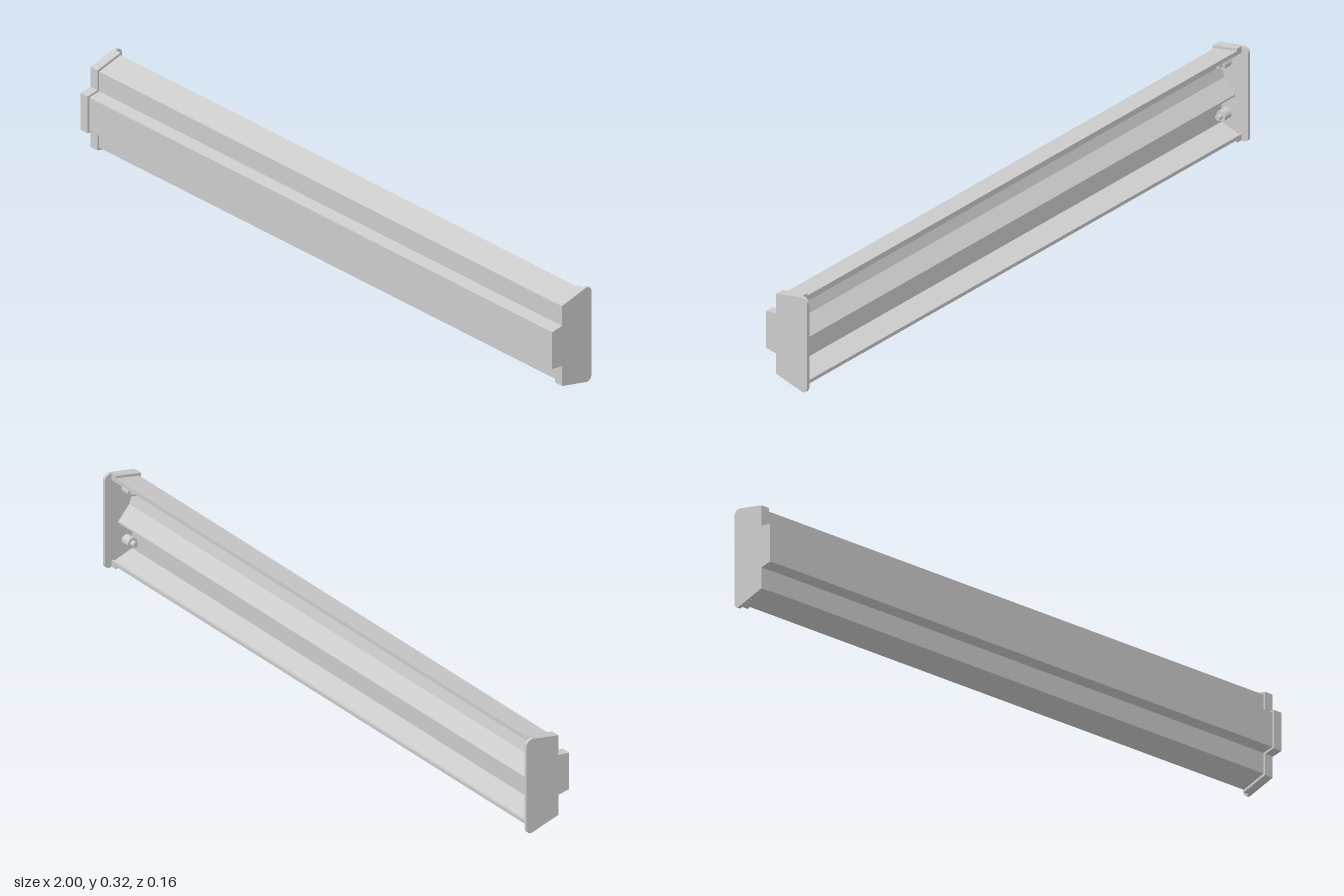
import * as THREE from 'three';

const grey = new THREE.MeshStandardMaterial({ color: 0xcccccc });

// Extrude a [z, y] outline along x from x0 to x1.
function extrudeX(name, points, x0, x1) {
  const shape = new THREE.Shape(points.map(([z, y]) => new THREE.Vector2(-z, y)));
  const geo = new THREE.ExtrudeGeometry(shape, { depth: x1 - x0, bevelEnabled: false });
  geo.rotateY(Math.PI / 2).translate(x0, 0, 0);
  const mesh = new THREE.Mesh(geo, grey);
  mesh.name = name;
  return mesh;
}

// Quarter-round corner points.
function corner(z, y, r, from, to) {
  return Array.from({ length: 7 }, (_, i) => {
    const a = from + (to - from) * i / 6;
    return [z + r * Math.cos(a), y + r * Math.sin(a)];
  });
}

// Stepped front contour, top to bottom, shared by caps and rail.
const capFront = [
  [-0.055, 0.318], [0.04, 0.295], [0.04, 0.228], [0.08, 0.222],
  [0.08, 0.098], [0.04, 0.093], [0.04, 0.025], [-0.055, 0.001],
];
const railFront = [
  [-0.055, 0.31], [0.033, 0.288], [0.033, 0.222], [0.073, 0.216],
  [0.073, 0.104], [0.033, 0.099], [0.033, 0.032], [-0.055, 0.01],
];

// Back of the rail, bottom to top: lips, lower panel, central rib, sloped upper panel.
const railBack = [
  [-0.055, 0.022], [-0.047, 0.022], [-0.045, 0.018], [0.022, 0.036],
  [0.022, 0.132], [-0.03, 0.14], [-0.03, 0.146], [0.012, 0.19],
  [0.022, 0.225], [0.022, 0.282], [-0.045, 0.301], [-0.047, 0.296], [-0.055, 0.296],
];

// Full end plate with rounded back corners.
const plate = [
  ...capFront.slice(1, -1),
  ...corner(-0.062, 0.018, 0.018, -Math.PI / 2, -Math.PI),
  ...corner(-0.062, 0.3, 0.018, Math.PI, Math.PI / 2),
  [-0.055, 0.318],
];

function endCap() {
  const cap = new THREE.Group();
  cap.add(extrudeX('endPlate', plate, 0.99, 1));
  // Collar wrapping the rail end
  cap.add(extrudeX('collar', [...capFront, ...railFront.slice().reverse()], 0.97, 0.99));
  // Fastener bosses inside the hollow back
  for (const y of [0.25, 0.075]) {
    const boss = new THREE.Mesh(new THREE.CylinderGeometry(0.017, 0.017, 0.03, 20), grey);
    boss.rotation.z = Math.PI / 2;
    boss.position.set(0.975, y, 0);
    boss.name = 'boss';
    const tip = new THREE.Mesh(new THREE.CylinderGeometry(0.009, 0.009, 0.02, 16), grey);
    tip.rotation.z = Math.PI / 2;
    tip.position.set(0.955, y, 0);
    tip.name = 'bossTip';
    cap.add(boss, tip);
  }
  return cap;
}

export function createModel() {
  const model = new THREE.Group();
  model.name = 'railWithEndCaps';
  model.add(extrudeX('rail', [...railFront, ...railBack], -0.99, 0.99));

  const left = endCap();
  left.name = 'leftEndCap';
  const right = endCap();
  right.name = 'rightEndCap';
  right.scale.x = -1;
  model.add(left, right);
  return model;
}
